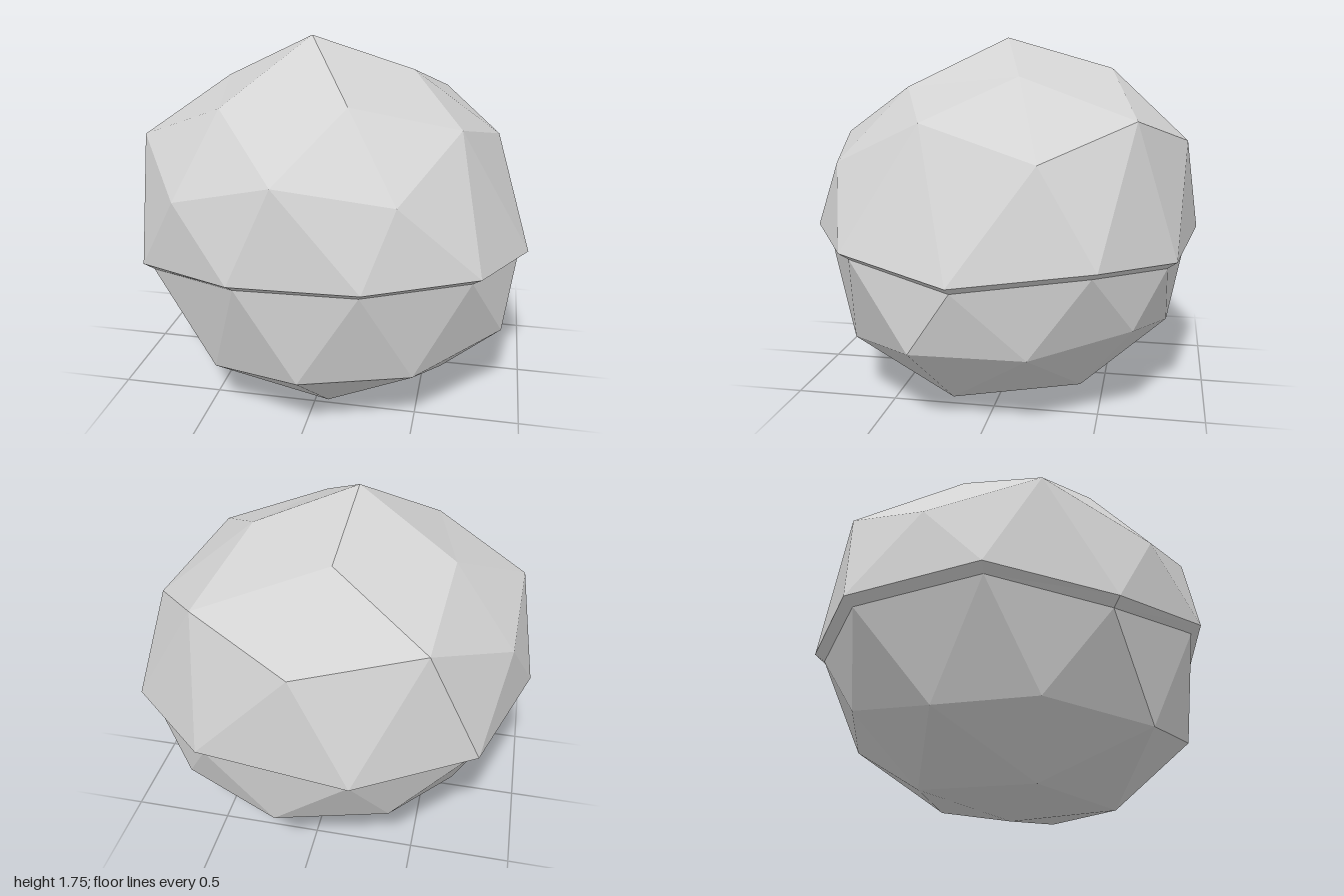
import * as THREE from 'three';

const stone = new THREE.MeshStandardMaterial({ color: 0xd3d3d3, flatShading: true });
stone.name = 'light stone grey';

// Rings run clockwise seen from above; each point is [x, y, z].
const rim = [
  [0.485, 0.755, -0.843], [0.88, 0.795, -0.515], [0.998, 0.732, 0.105], [0.785, 0.805, 0.648], [0.297, 0.823, 0.943],
  [-0.285, 0.813, 0.947], [-0.835, 0.7, 0.55], [-1, 0.807, -0.01], [-0.79, 0.79, -0.65], [-0.255, 0.764, -0.95],
];
// The lower half starts a little inside and below the rim
const innerRim = rim.map(([x, y, z]) => [x * 0.95, y - 0.035, z * 0.95]);

const upper = {
  pole: [-0.1, 1.75, 0.04],
  cap: [[0.385, 1.575, -0.1], [0.16, 1.51, 0.5], [-0.45, 1.465, 0.45], [-0.59, 1.5, -0.16], [-0.085, 1.6, -0.495]],
  band: [
    [0.52, 1.39, -0.65], [0.82, 1.23, -0.25], [0.655, 1.38, 0.305], [0.42, 1.16, 0.785], [-0.09, 1.255, 0.91],
    [-0.6, 1.09, 0.715], [-0.91, 1.267, 0.24], [-0.89, 1.14, -0.29], [-0.545, 1.35, -0.72], [0.025, 1.254, -0.88],
  ],
};
const lower = {
  pole: [0.16, 0, -0.01],
  cap: [[0.44, 0.12, -0.41], [0.6, 0.08, 0.175], [0.07, 0.02, 0.505], [-0.37, 0.04, 0.16], [-0.14, 0.09, -0.42]],
  band: [
    [0.6, 0.46, -0.657], [0.845, 0.38, -0.215], [0.89, 0.392, 0.307], [0.5, 0.31, 0.69], [0, 0.322, 0.87],
    [-0.445, 0.257, 0.68], [-0.74, 0.305, 0.21], [-0.67, 0.31, -0.27], [-0.4, 0.4, -0.69], [0.135, 0.37, -0.805],
  ],
};

function meshFrom(name, triangles, flip = false) {
  const points = triangles.flatMap(([a, b, c]) => (flip ? [a, c, b] : [a, b, c]));
  const geometry = new THREE.BufferGeometry();
  geometry.setAttribute('position', new THREE.Float32BufferAttribute(points.flat(), 3));
  geometry.computeVertexNormals();
  const mesh = new THREE.Mesh(geometry, stone);
  mesh.name = name;
  return mesh;
}

// Half of a faceted ball: pole, five cap points, ten band points, ten edge points.
// Cap point i sits in line with band point 2i + offset.
function halfBall({ pole, cap, band }, edge, offset) {
  const triangles = [];
  const b = (k) => band[(k + 10) % 10];
  for (let i = 0; i < 5; i++) {
    const k = 2 * i + offset;
    const next = cap[(i + 1) % 5];
    triangles.push([pole, next, cap[i]], [cap[i], b(k + 1), b(k)], [cap[i], b(k), b(k - 1)], [cap[i], next, b(k + 1)]);
  }
  for (let k = 0; k < 10; k++) {
    const e = edge[(k + 1) % 10];
    triangles.push([b(k), e, edge[k]], [e, b(k), b(k + 1)]);
  }
  return triangles;
}

export function createModel() {
  const group = new THREE.Group();
  group.name = 'facetedRock';

  // Overhanging ledge between the two halves
  const ledge = [];
  for (let k = 0; k < 10; k++) {
    const n = (k + 1) % 10;
    ledge.push([rim[k], rim[n], innerRim[n]], [rim[k], innerRim[n], innerRim[k]]);
  }

  group.add(
    meshFrom('upperHalf', halfBall(upper, rim, 1)),
    meshFrom('ledge', ledge),
    meshFrom('lowerHalf', halfBall(lower, innerRim, 0), true),
  );
  return group;
}
